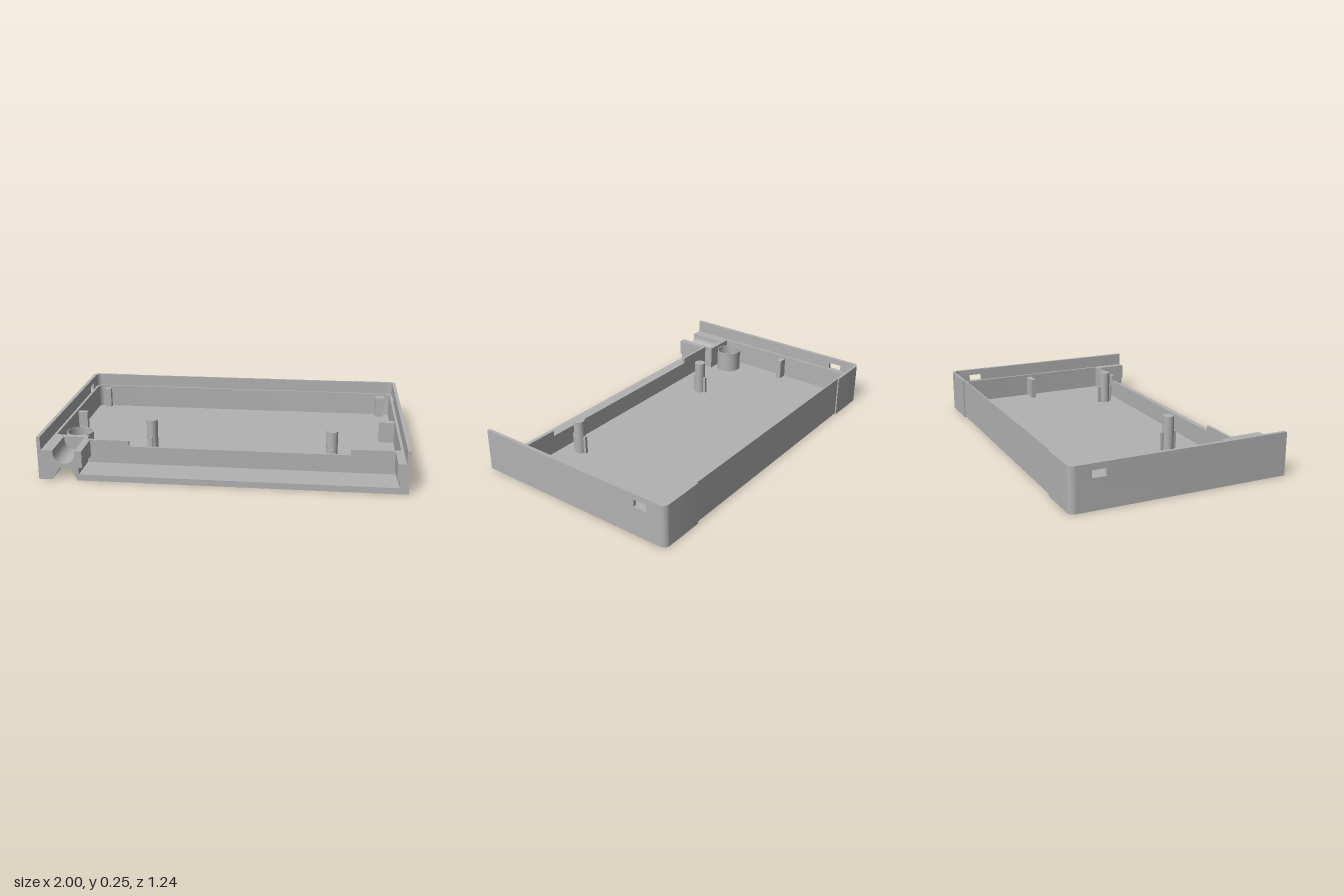
import * as THREE from 'three';
import { toCreasedNormals } from 'three/addons/utils/BufferGeometryUtils.js';

const FRONT = 0.622, BACK = -0.622, MID = 0.437; // MID: where the front tray begins
const FLOOR = 0.03, WALL = 0.17, RIM = 0.245;
const HOLE = { x: -0.855, z: 0.28, r: 0.07 };

export function createModel() {
  const model = new THREE.Group();
  model.name = 'enclosureShell';
  const grey = new THREE.MeshStandardMaterial({ color: 0xb2b2b2 });
  grey.name = 'grey';

  const add = (name, geometry) => {
    const mesh = new THREE.Mesh(geometry, grey);
    mesh.name = name;
    model.add(mesh);
    return mesh;
  };
  const extrude = (shape, depth) =>
    new THREE.ExtrudeGeometry(shape, { depth, bevelEnabled: false, curveSegments: 20 });

  // plan shape (x, -z) raised from y0 to y1
  const plate = (name, shape, y0, y1) =>
    add(name, toCreasedNormals(extrude(shape, y1 - y0).rotateX(-Math.PI / 2).translate(0, y0, 0), 0.5));
  // front profile (x, y) swept from z0 to z1
  const sweep = (name, shape, z0, z1) =>
    add(name, toCreasedNormals(extrude(shape, z1 - z0).translate(0, 0, z0), 0.5));
  const box = (name, x0, x1, y0, y1, z0, z1) =>
    add(name, new THREE.BoxGeometry(x1 - x0, y1 - y0, z1 - z0)
      .translate((x0 + x1) / 2, (y0 + y1) / 2, (z0 + z1) / 2));
  const polygon = (points) => new THREE.Shape(points.map(([x, y]) => new THREE.Vector2(x, y)));

  // outer outline with rounded back corners and a back recess of the given depth
  const R = 0.035, PANEL = 0.735;
  const traceBack = (s, recessZ) => {
    s.lineTo(1, -BACK - R);
    s.absarc(1 - R, -BACK - R, R, 0, Math.PI / 2, false);
    s.lineTo(PANEL, -BACK);
    s.lineTo(PANEL, -recessZ);
    s.lineTo(-PANEL, -recessZ);
    s.lineTo(-PANEL, -BACK);
    s.lineTo(-1 + R, -BACK);
    s.absarc(-1 + R, -BACK - R, R, Math.PI / 2, Math.PI, false);
  };
  const slab = (recessZ) => {
    const s = new THREE.Shape();
    s.moveTo(-1, -MID);
    s.lineTo(1, -MID);
    traceBack(s, recessZ);
    s.closePath();
    s.holes.push(new THREE.Path().absarc(HOLE.x, -HOLE.z, HOLE.r, 0, Math.PI * 2, true));
    return s;
  };
  // U-shaped wall, open to the front
  const uWall = (innerX, innerBack, leftEnd, rightEnd, r) => {
    const s = new THREE.Shape();
    s.moveTo(innerX, -rightEnd);
    s.lineTo(1, -rightEnd);
    traceBack(s, BACK + 0.008);
    s.lineTo(-1, -leftEnd);
    s.lineTo(-innerX, -leftEnd);
    s.lineTo(-innerX, -innerBack - r);
    s.absarc(-innerX + r, -innerBack - r, r, Math.PI, Math.PI / 2, true);
    s.lineTo(innerX - r, -innerBack);
    s.absarc(innerX - r, -innerBack - r, r, Math.PI / 2, 0, true);
    s.closePath();
    return s;
  };

  // base, with a shallow panel recess underneath
  plate('baseSkin', slab(-0.375), 0, 0.004);
  plate('floor', slab(BACK + 0.008), 0.004, FLOOR);

  // thick lower wall and thin upper rim with a slot in each side
  plate('lowerWall', uWall(0.965, -0.595, 0.37, MID, 0.03), FLOOR, WALL);
  const slotTop = 0.21, slotBack = -0.505, slotFront = -0.425;
  plate('slottedRim', uWall(0.98, -0.606, slotBack, slotBack, 0.03), WALL, slotTop);
  plate('upperRim', uWall(0.98, -0.606, FRONT, FRONT, 0.03), slotTop, RIM);
  box('leftRimSide', 0.98, 1, WALL, slotTop, slotFront, FRONT);
  box('rightRimSide', -1, -0.98, WALL, slotTop, slotFront, FRONT);

  // inner front wall with a wide cut in its top edge
  sweep('frontWall', polygon([
    [-0.775, FLOOR], [0.965, FLOOR], [0.965, WALL], [0.695, WALL],
    [0.695, 0.137], [-0.535, 0.137], [-0.535, WALL], [-0.775, WALL],
  ]), 0.422, MID);

  // corner block with a round channel in its top
  const channel = (s) => {
    s.lineTo(-0.795, WALL);
    s.lineTo(-0.795, 0.155);
    s.absarc(-0.855, 0.155, 0.06, 0, -Math.PI, true);
    s.lineTo(-0.915, WALL);
    s.lineTo(-1, WALL);
    s.closePath();
    return s;
  };
  box('cornerBlockBack', -1, -0.775, FLOOR, WALL, 0.37, 0.4);
  sweep('cornerBlock', channel(polygon([[-1, FLOOR], [-0.775, FLOOR], [-0.775, WALL]])), 0.4, MID);

  // front tray: undercut slot, round channel and tapered notch below
  sweep('frontTray', channel(polygon([
    [-1, 0], [-0.927, 0], [-0.88, 0.068], [-0.823, 0.068], [-0.785, 0],
    [1, 0], [1, WALL], [0.935, WALL], [0.935, 0.075], [0.95, 0.075], [0.95, 0.035],
    [-0.775, 0.035], [-0.775, 0.075], [-0.755, 0.075], [-0.755, WALL],
  ])), MID, FRONT);

  // collar around the floor hole
  const ring = new THREE.Shape().absarc(HOLE.x, -HOLE.z, HOLE.r + 0.006, 0, Math.PI * 2, false);
  ring.holes.push(new THREE.Path().absarc(HOLE.x, -HOLE.z, HOLE.r, 0, Math.PI * 2, true));
  plate('holeCollar', ring, FLOOR, 0.16);

  // round posts with thin fins
  for (const [x, z] of [[-0.442, 0.225], [0.593, 0.317]]) {
    add('post', new THREE.CylinderGeometry(0.032, 0.032, 0.2, 32).translate(x, 0.13, z));
    box('postFin', x - 0.008, x + 0.008, FLOOR, 0.135, z - 0.047, z + 0.047);
  }

  // square support blocks along the walls
  for (const [x0, x1, z0, z1] of [
    [-0.92, -0.882, -0.597, -0.56], [0.877, 0.93, -0.597, -0.546],
    [-0.967, -0.91, -0.103, -0.07], [0.877, 0.967, -0.103, -0.07],
  ]) box('supportBlock', x0, x1, FLOOR, 0.155, z0, z1);

  return model;
}
